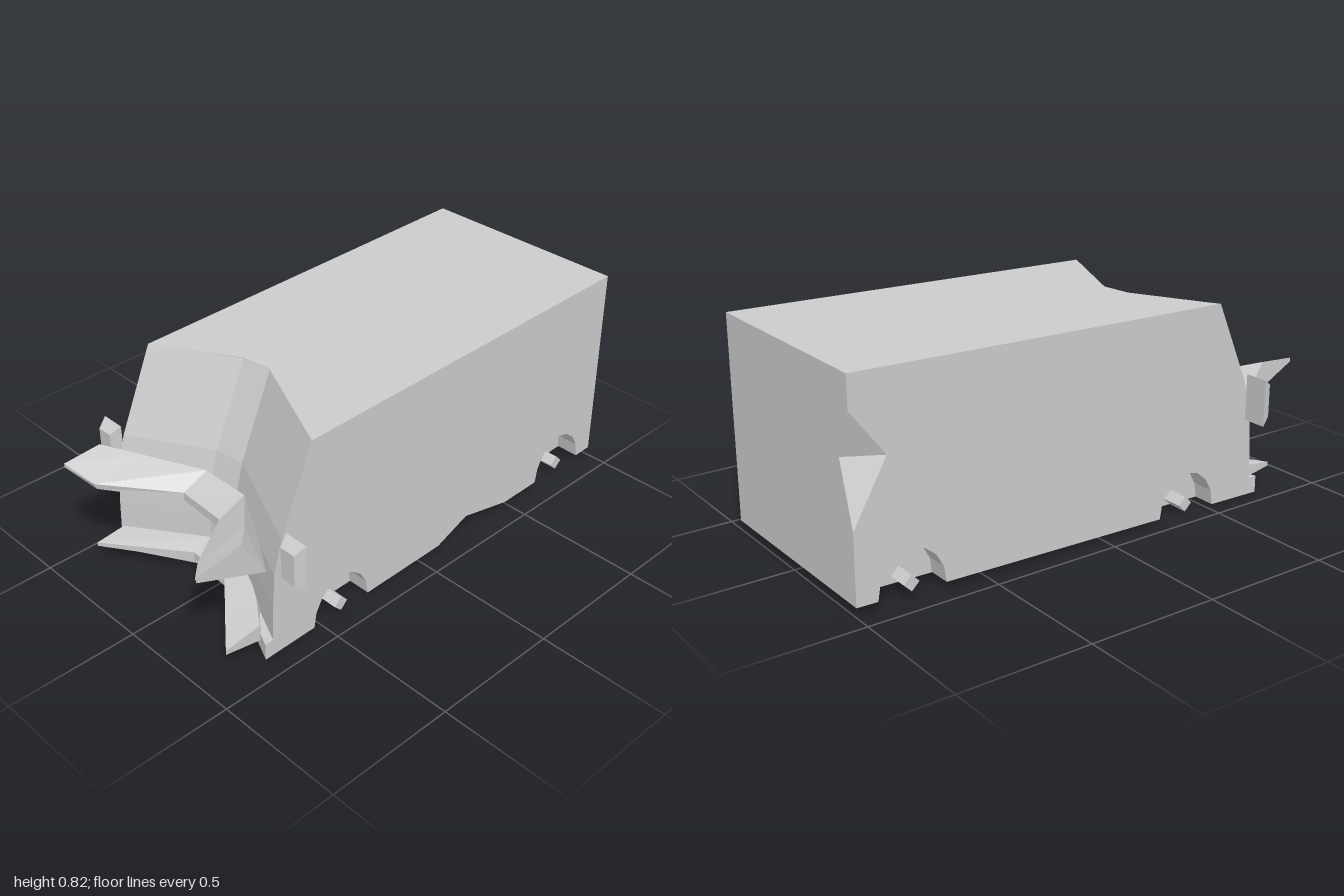
import * as THREE from 'three';

const mat = new THREE.MeshStandardMaterial({ color: 0xcccccc, flatShading: true, side: THREE.DoubleSide });
const LEFT = 0.415, RIGHT = -0.43, ARCH_R = 0.13, POCKET = 0.09;
const arches = [0.4, -0.79];

// the floor and roof both tilt slightly up towards the back
const floorY = (z) => 0.018 - 0.02 * z;
const roofY = (z) => 0.8 - 0.02 * z;

function mesh(name, geometry) {
  const m = new THREE.Mesh(geometry, mat);
  m.name = name;
  return m;
}

// flat polygon whose 2D points are placed in space by a rule
function panel(name, points, place) {
  const g = new THREE.ShapeGeometry(new THREE.Shape(points.map(([a, b]) => new THREE.Vector2(a, b))));
  const p = g.attributes.position;
  for (let i = 0; i < p.count; i++) p.setXYZ(i, ...place(p.getX(i), p.getY(i)));
  g.computeVertexNormals();
  return mesh(name, g);
}

// skin between rows of [x, y, z] points
function loft(name, rows, closed = false) {
  const n = rows[0].length, index = [];
  for (let r = 0; r < rows.length - 1; r++) {
    for (let c = 0; c < (closed ? n : n - 1); c++) {
      const d = (c + 1) % n, a = r * n + c, b = r * n + d;
      index.push(a, a + n, b, b, a + n, b + n);
    }
  }
  const g = new THREE.BufferGeometry();
  g.setAttribute('position', new THREE.Float32BufferAttribute(rows.flat(2), 3));
  g.setIndex(index);
  g.computeVertexNormals();
  return mesh(name, g);
}

// bent bar: stations of [x, four (y, z) corners], closed at both ends
function bar(name, stations) {
  const rows = stations.map(([x, ...s]) => s.map(([y, z]) => [x, y, z]));
  const cap = (row) => row.map(() => [0, 1, 2].map((k) => row.reduce((t, p) => t + p[k], 0) / row.length));
  return loft(name, [cap(rows[0]), ...rows, cap(rows[rows.length - 1])], true);
}

// wheel arch outline as (z, y), front to back
function archPoints(c) {
  const pts = [];
  for (let i = 0; i <= 8; i++) {
    const a = (Math.PI * i) / 8, z = c + ARCH_R * Math.cos(a);
    pts.push([z, floorY(z) + 0.155 * Math.sin(a)]);
  }
  return pts;
}

// crushed nose: profile (y, z) at the corners, pushed back towards the middle
const nose = [[0.79, 0.53], [0.47, 0.67], [0.34, 0.705], [0.2, 0.715], [0.07, 0.72], [0.07, 0.755], [0.003, 0.755]];
const dent = [[RIGHT, 0], [-0.12, 0.175], [0, 0.19], [LEFT, 0]];

function buildBody() {
  const body = new THREE.Group();
  body.name = 'body';

  body.add(loft('crushedFront', nose.map(([y, z]) => dent.map(([x, d]) => [x, y, z - d]))));

  // side walls: the left sill is bent up, the right rear corner is knocked in
  const bottom = arches.map(archPoints);
  const sill = [[-0.1, floorY(-0.1)], [-0.25, 0.08], [-0.48, floorY(-0.48)]];
  const cornerDent = [[-1, 0.3], [-0.87, 0.53], [-1, 0.7]];
  for (const x of [LEFT, RIGHT]) {
    const isLeft = x > 0;
    const outline = [...nose, ].map(([y, z]) => [z, y]);
    outline.push(...bottom[0], ...(isLeft ? sill : []), ...bottom[1], [-1, floorY(-1)]);
    if (!isLeft) outline.push(...cornerDent);
    outline.push([-1, roofY(-1)]);
    body.add(panel(isLeft ? 'leftSide' : 'rightSide', outline, (z, y) => [x, y, z]));

    // wheel pockets
    const inner = x - Math.sign(x) * POCKET;
    for (const pts of bottom) {
      body.add(loft('wheelArch', [x, inner].map((px) => pts.map(([z, y]) => [px, y, z]))));
      body.add(panel('wheelArchWall', pts, (z, y) => [inner, y, z]));
    }
  }

  // roof
  body.add(panel('roof', [...dent.map(([x, d]) => [x, 0.53 - d]), [LEFT, -1], [RIGHT, -1]],
    (x, z) => [x, roofY(z), z]));

  // back wall and the knocked-in corner
  const backOutline = [[LEFT, floorY(-1)], [LEFT, roofY(-1)], [RIGHT, roofY(-1)],
    [RIGHT, 0.7], [-0.36, 0.53], [RIGHT, 0.3], [RIGHT, floorY(-1)]];
  body.add(panel('backWall', backOutline, (x, y) => [x, y, -1]));
  body.add(loft('cornerDent', [
    [[RIGHT, 0.7, -1], [RIGHT, 0.7, -1]],
    [[-0.36, 0.53, -1], [RIGHT, 0.53, -0.87]],
    [[RIGHT, 0.3, -1], [RIGHT, 0.3, -1]],
  ]));

  // underside with openings for the wheels and the bent sill
  const notch = (x, c) => {
    const inner = x - Math.sign(x) * POCKET;
    return [[x, c + ARCH_R], [inner, c + ARCH_R], [inner, c - ARCH_R], [x, c - ARCH_R]];
  };
  const under = [
    ...dent.map(([x, d]) => [x, 0.755 - d]),
    ...notch(LEFT, arches[0]), ...sill.map(([z]) => [LEFT, z]), ...notch(LEFT, arches[1]),
    [LEFT, -1], [RIGHT, -1],
    ...notch(RIGHT, arches[1]).reverse(), ...notch(RIGHT, arches[0]).reverse(),
  ];
  body.add(panel('underside', under,
    (x, z) => [x, x > 0.4 && Math.abs(z + 0.25) < 0.01 ? 0.08 : floorY(z), z]));
  return body;
}

// axle rod with a square hub at each end
function buildAxle(z) {
  const axle = new THREE.Group();
  axle.name = 'axle';
  const rod = mesh('axleRod', new THREE.CylinderGeometry(0.007, 0.007, 0.72, 4));
  rod.rotation.z = Math.PI / 2;
  axle.add(rod);
  for (const s of [-1, 1]) {
    const hub = mesh('wheelHub', new THREE.CylinderGeometry(0.03, 0.03, 0.085, 4));
    hub.rotation.z = Math.PI / 2;
    hub.position.x = s * 0.375;
    axle.add(hub);
  }
  axle.position.set(-0.005, floorY(z) + 0.028, z);
  return axle;
}

// mirror: a block that narrows towards the front
function buildMirror(name, x, y) {
  const g = new THREE.BoxGeometry(0.096, 0.18, 0.04);
  const p = g.attributes.position;
  for (let i = 0; i < p.count; i++) {
    if (p.getZ(i) > 0) p.setXY(i, p.getX(i) * 0.65, p.getY(i) * 0.69);
  }
  const m = mesh(name, g);
  m.position.set(x, y, 0.69);
  return m;
}

export function createModel() {
  const van = new THREE.Group();
  van.name = 'wreckedVan';
  van.add(buildBody());

  // corners of each station: back top, lip top, lip bottom, back bottom
  van.add(bar('bentHood', [
    [-0.39, [0.51, 0.8], [0.5, 0.95], [0.485, 0.95], [0.35, 0.7]],
    [-0.28, [0.472, 0.7], [0.45, 0.91], [0.425, 0.9], [0.35, 0.64]],
    [-0.115, [0.415, 0.55], [0.37, 0.655], [0.338, 0.655], [0.345, 0.53]],
    [0.09, [0.415, 0.55], [0.37, 0.665], [0.335, 0.665], [0.345, 0.53]],
    [0.28, [0.465, 0.71], [0.43, 0.91], [0.405, 0.9], [0.325, 0.64]],
    [0.368, [0.49, 0.8], [0.462, 0.99], [0.442, 0.985], [0.325, 0.7]],
  ]));
  van.add(bar('bentBumper', [
    [-0.4, [0.108, 0.73], [0.095, 0.85], [0.08, 0.85], [0.055, 0.72]],
    [-0.1, [0.125, 0.55], [0.105, 0.64], [0.07, 0.64], [0.068, 0.54]],
    [0.08, [0.125, 0.55], [0.102, 0.65], [0.062, 0.65], [0.06, 0.54]],
    [0.25, [0.11, 0.65], [0.09, 0.79], [0.06, 0.79], [0.045, 0.62]],
    [0.36, [0.105, 0.73], [0.085, 0.88], [0.068, 0.88], [0.037, 0.72]],
  ]));

  van.add(buildMirror('leftMirror', 0.487, 0.42));
  van.add(buildMirror('rightMirror', -0.49, 0.41));
  for (const z of arches) van.add(buildAxle(z));
  return van;
}
